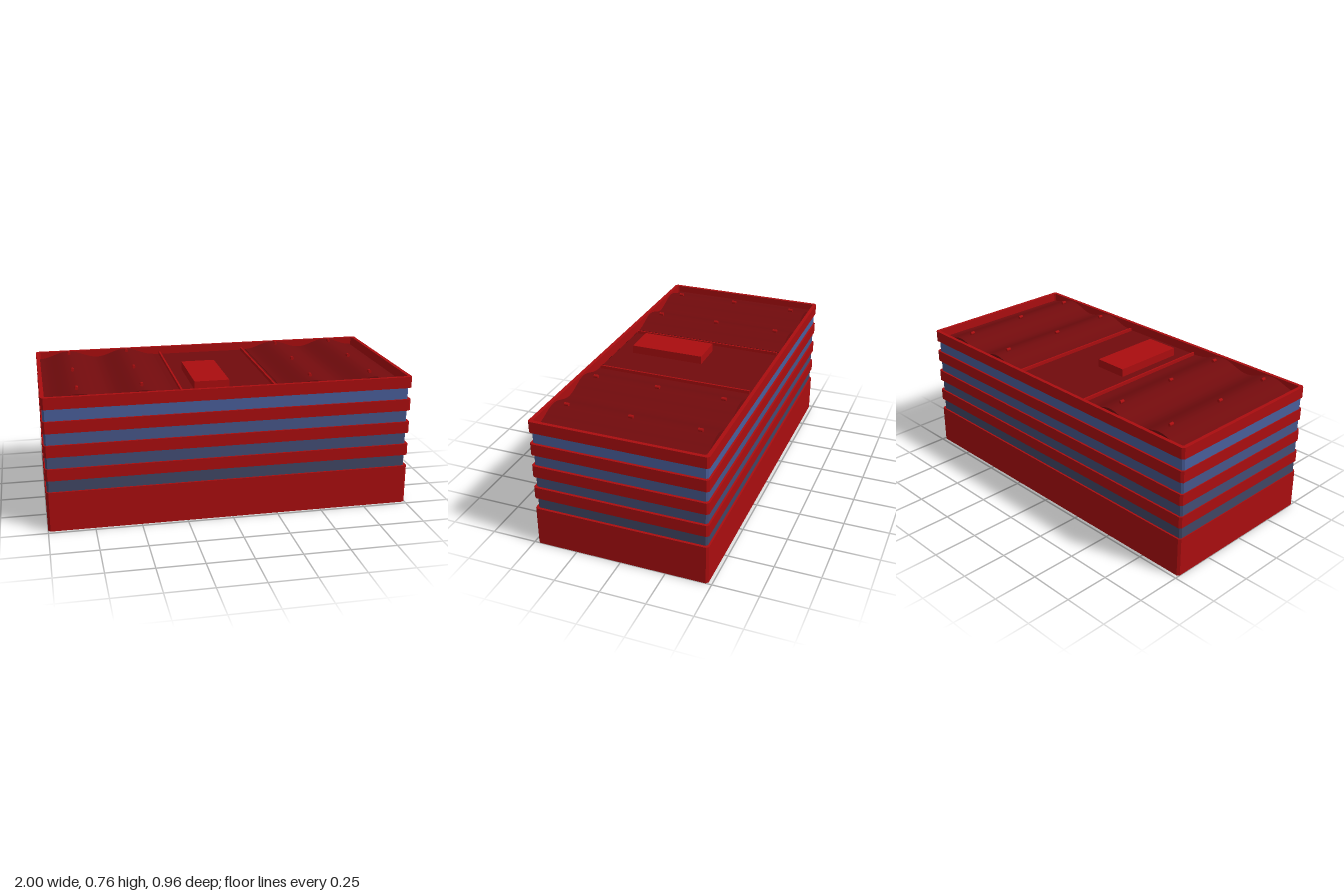
import * as THREE from 'three';
import { toCreasedNormals } from 'three/addons/utils/BufferGeometryUtils.js';

const paint = (color) => new THREE.MeshStandardMaterial({ color });
const red = paint(0xaa0d0f);
const roofRed = paint(0x720b0d);
const gutterRed = paint(0x380607);

// Rectangle with cut corners, in plan
function plan(Type, x0, x1, z, c) {
  return new Type([
    [x0 + c, -z], [x1 - c, -z], [x1, -z + c], [x1, z - c],
    [x1 - c, z], [x0 + c, z], [x0, z - c], [x0, -z + c],
  ].map(([x, y]) => new THREE.Vector2(x, y)));
}

// Extrude a plan shape upwards from y0 to y1
function slab(shape, y0, y1) {
  const g = new THREE.ExtrudeGeometry(shape, { depth: y1 - y0, bevelEnabled: false });
  return g.rotateX(-Math.PI / 2).translate(0, y0, 0);
}

export function createModel() {
  const model = new THREE.Group();
  const add = (name, geometry, material, x = 0, y = 0, z = 0) => {
    const mesh = new THREE.Mesh(geometry, material);
    mesh.name = name;
    mesh.position.set(x, y, z);
    model.add(mesh);
    return mesh;
  };
  const outline = () => plan(THREE.Shape, -1, 1, 0.48, 0.012);

  // Ground floor, then alternating window strips and wall bands
  add('groundFloor', slab(outline(), 0, 0.22), red);
  const glass = [0x404664, 0x434d75, 0x465689, 0x495e9a];
  glass.forEach((color, i) => {
    const y = 0.22 + i * 0.13;
    add('windowStrip', slab(plan(THREE.Shape, -0.995, 0.985, 0.47, 0.01), y, y + 0.065), paint(color));
    if (i < 3) add('wallBand', slab(outline(), y + 0.065, y + 0.13), red);
  });

  // Top band is a parapet around a sunken gutter floor
  const rim = outline();
  rim.holes.push(plan(THREE.Path, -0.98, 0.98, 0.46, 0.008));
  add('parapet', slab(rim, 0.675, 0.738), red);
  add('gutterFloor', slab(plan(THREE.Shape, -0.99, 0.99, 0.47, 0.01), 0.675, 0.682), gutterRed);

  // Two wavy roof sections, each with a pair of crests
  const bottom = 0.68, valley = 0.7, crest = 0.741, pitch = 0.34, steps = 40;
  for (const [name, start] of [['leftWavyRoof', 0.28], ['rightWavyRoof', -0.98]]) {
    const s = new THREE.Shape();
    s.moveTo(start, bottom);
    s.lineTo(start + 2 * pitch, bottom);
    for (let i = steps; i >= 0; i--) {
      const t = i / steps;
      s.lineTo(start + 2 * pitch * t, valley + (crest - valley) * (1 - Math.cos(4 * Math.PI * t)) / 2);
    }
    const g = new THREE.ExtrudeGeometry(s, { depth: 0.89, bevelEnabled: false });
    add(name, toCreasedNormals(g, 0.6), roofRed, 0, 0, -0.445);

    // Small round pegs lying along each crest
    for (const k of [0.5, 1.5]) {
      for (const z of [-0.36, 0.01, 0.367]) {
        const peg = new THREE.CylinderGeometry(0.009, 0.009, 0.025, 12).rotateX(Math.PI / 2);
        add('roofPeg', peg, red, start + k * pitch, 0.751, z);
      }
    }
  }

  // Flat centre roof between two low ribs, with a raised hatch
  add('centreRoof', new THREE.BoxGeometry(0.58, 0.02, 0.89), roofRed, -0.01, 0.687, 0);
  for (const x of [-0.26, 0.25]) {
    add('roofRib', new THREE.BoxGeometry(0.01, 0.03, 0.87), red, x, 0.7, 0);
  }
  add('roofHatch', new THREE.BoxGeometry(0.19, 0.055, 0.42), red, -0.09, 0.7155, 0.14);

  return model;
}
